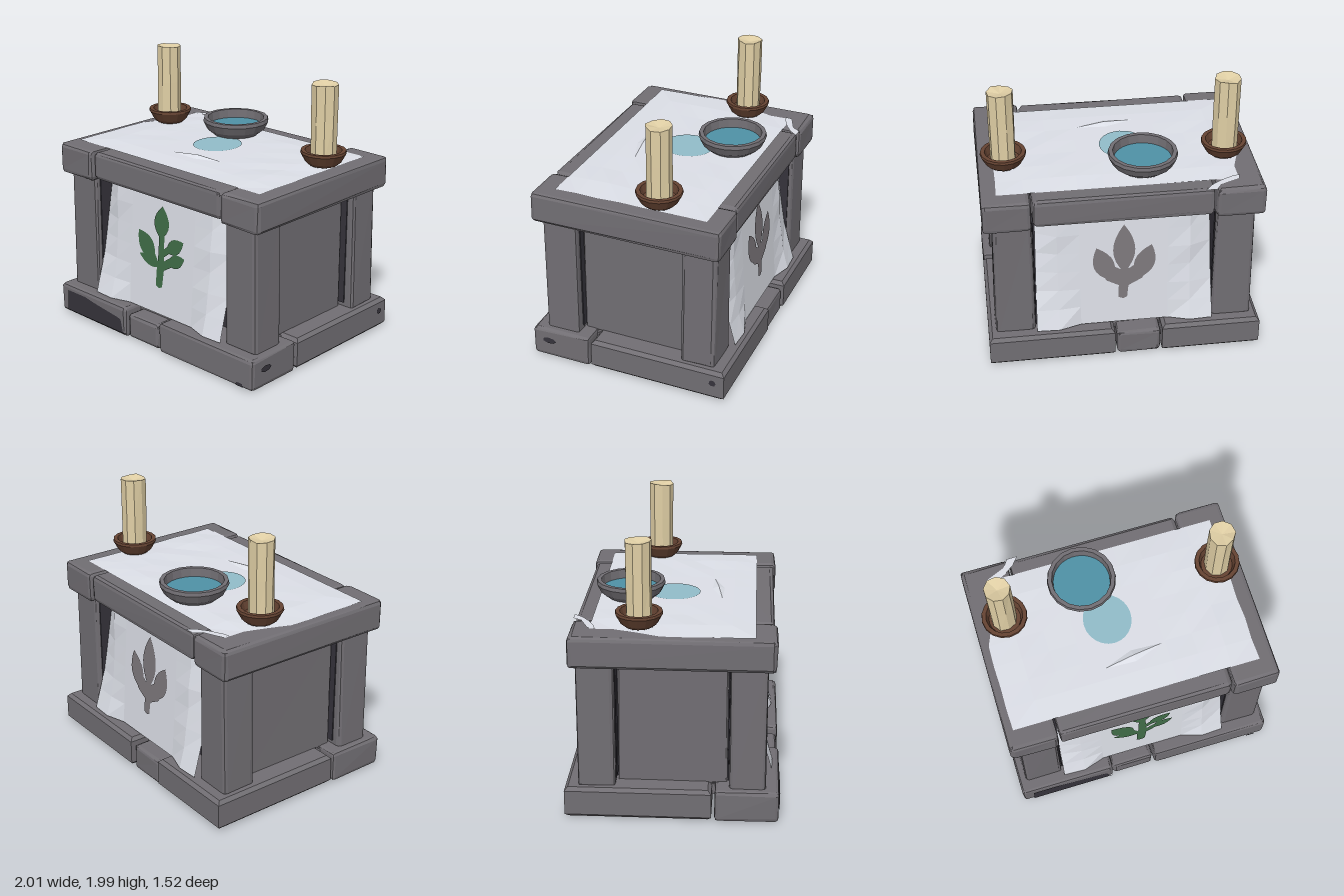
import * as THREE from 'three';
import { RoundedBoxGeometry } from 'three/addons/geometries/RoundedBoxGeometry.js';

const mat = (name, color, extra = {}) => {
  const m = new THREE.MeshStandardMaterial({ color, flatShading: true, ...extra });
  m.name = name;
  return m;
};
const two = { side: THREE.DoubleSide };

// Repeatable noise in -1..1, equal for equal positions so seams stay closed
const noise = (x, y, z) => {
  const r = v => Math.round(v * 500) / 500;
  const s = Math.sin(r(x) * 127.1 + r(y) * 311.7 + r(z) * 74.7) * 43758.5453;
  return (s - Math.floor(s)) * 2 - 1;
};

// Moves every vertex by a rule
function warp(geo, rule) {
  const p = geo.attributes.position, v = new THREE.Vector3();
  for (let i = 0; i < p.count; i++) {
    v.fromBufferAttribute(p, i);
    rule(v);
    p.setXYZ(i, v.x, v.y, v.z);
  }
  geo.computeVertexNormals();
  return geo;
}
const roughen = (geo, a) => warp(geo, v => {
  const { x, y, z } = v;
  v.set(x + a * noise(x, y, z), y + a * noise(y, z, x), z + a * noise(z, x, y));
});

// Chamfered stone given by its extents
function block([x0, x1], [y0, y1], [z0, z1], bevel = 0.025) {
  const g = new RoundedBoxGeometry(x1 - x0, y1 - y0, z1 - z0, 1, bevel);
  g.translate((x0 + x1) / 2, (y0 + y1) / 2, (z0 + z1) / 2);
  return roughen(g, 0.004);
}

// Pointed leaf outline from base to tip
function leaf(ax, ay, bx, by, w) {
  const mx = ax * 0.55 + bx * 0.45, my = ay * 0.55 + by * 0.45;
  const l = Math.hypot(bx - ax, by - ay), px = -(by - ay) / l * w, py = (bx - ax) / l * w;
  const s = new THREE.Shape();
  s.moveTo(ax, ay);
  s.quadraticCurveTo(mx + px, my + py, bx, by);
  s.quadraticCurveTo(mx - px, my - py, ax, ay);
  return s;
}
const poly = pts => new THREE.Shape(pts.map(p => new THREE.Vector2(...p)));

// Hanging cloth: flat in the middle, flared hem, creased sides
const clothZ = y => 0.60 + 0.06 * (1.15 - y) / 0.9;

export function createModel() {
  const stone = mat('stone', 0x716e73);
  const dark = mat('dark stone', 0x35333b, two);
  const linen = mat('linen', 0xdcdfe7, two);
  const green = mat('leaf green', 0x3f6b46, two);
  const grey = mat('emblem grey', 0x7c777b, two);
  const wood = mat('brown dish', 0x654332);
  const wax = mat('wax', 0xe0cfa5);
  const water = mat('water', 0x4f91a6);
  const stain = mat('wet linen', 0x91bcc9, two);

  const model = new THREE.Group();
  const add = (name, geo, m, parent = model) => {
    const mesh = new THREE.Mesh(geo, m);
    mesh.name = name;
    parent.add(mesh);
    return mesh;
  };

  // Base ring: straight stones in front and middle, corner stones at the back
  for (const [x, y, z] of [
    [[-1, -0.265], [0.01, 0.24], [0.30, 0.755]],
    [[-0.26, 0.06], [0.01, 0.2], [0.31, 0.74]],
    [[0.08, 1], [0.01, 0.24], [0.30, 0.755]],
    [[-0.26, 0.06], [0.01, 0.2], [-0.74, -0.22]],
  ]) add('baseStone', block(x, y, z), stone);
  for (const [end, inner, outer] of [[0.08, 0.55, 1], [-0.27, -0.6, -1]]) {
    const bevel = 0.025;
    const g = new THREE.ExtrudeGeometry(
      poly([[end, 0.22], [inner, 0.22], [inner, -0.28], [outer, -0.28], [outer, 0.755], [end, 0.755]]),
      { depth: 0.23 - 2 * bevel, bevelSize: bevel, bevelThickness: bevel, bevelOffset: -bevel, bevelSegments: 1 });
    add('baseCornerStone', g.rotateX(-Math.PI / 2).translate(0, 0.01 + bevel, 0), stone);
  }
  add('floor', block([-0.85, 0.85], [0.14, 0.225], [-0.6, 0.6], 0.01), stone);

  // Dark core behind the panels
  add('core', new THREE.BoxGeometry(1.56, 1.13, 0.94).translate(0, 0.79, 0), dark);

  // Legs, with dark hollows along their inner faces, and side panels
  for (const sx of [-1, 1]) {
    for (const sz of [-1, 1]) {
      const x = [0.655, 0.93].map(v => v * sx).sort((a, b) => a - b);
      const z = [0.40, 0.66].map(v => v * sz).sort((a, b) => a - b);
      const g = warp(block(x, [0.22, 1.16], z), v => {
        if (Math.abs(v.x) > 0.8) v.x += sx * 0.015 * (1.16 - v.y);
      });
      add('leg', g, stone);
      add('legHollow', new THREE.BoxGeometry(0.008, 0.88, 0.15).translate(sx * 0.648, 0.7, sz * 0.555), dark);
      add('legHollow', new THREE.BoxGeometry(0.1, 0.86, 0.008).translate(sx * 0.83, 0.7, sz * 0.396), dark);
    }
    const px = [0.7, 0.84].map(v => v * sx).sort((a, b) => a - b);
    add('sidePanel', block(px, [0.23, 1.15], [-0.38, 0.39], 0.01), stone);
  }

  // Table top stones
  add('topStone', block([-1, -0.645], [1.14, 1.37], [-0.705, 0.715], 0.03), stone);
  add('topStone', block([0.655, 1], [1.14, 1.37], [-0.705, 0.715], 0.03), stone);
  add('topStone', block([-0.635, 0.645], [1.16, 1.365], [0.3, 0.70], 0.03), stone);
  add('topStone', block([-0.635, 0.645], [1.16, 1.365], [-0.69, -0.3], 0.03), stone);

  // Worn dark patches
  const patch = (pts) => new THREE.ShapeGeometry(poly(pts));
  add('wornPatch', patch([[-0.925, 0.035], [-0.265, 0.035], [-0.3, 0.05], [-0.32, 0.14], [-0.36, 0.15],
    [-0.6, 0.18], [-0.72, 0.2], [-0.915, 0.2]]).translate(0, 0, 0.762), dark);
  add('wornPatch', patch([[0.85, 0.025], [0.92, 0.025], [0.91, 0.05], [0.86, 0.05]]).translate(0, 0, 0.762), dark);
  for (const [z, w, h] of [[0.62, 0.055, 0.025], [-0.67, 0.027, 0.025]])
    add('wornPatch', new THREE.CircleGeometry(1, 7).scale(w, h, 1).rotateY(Math.PI / 2).translate(1.007, 0.152, z), dark);

  // Hanging cloths with painted plants, front and back
  const stem = poly([[-0.045, 0.47], [-0.01, 0.455], [0.02, 0.47], [0.035, 0.62], [0.025, 0.88], [-0.025, 0.88],
    [-0.03, 0.68], [-0.04, 0.6]]);
  const frontPlant = [stem, leaf(-0.01, 0.83, 0, 1.08, 0.15), leaf(-0.07, 0.66, -0.24, 0.85, 0.15),
    leaf(-0.01, 0.62, -0.225, 0.67, 0.08), leaf(-0.02, 0.6, -0.17, 0.78, 0.07),
    leaf(0.05, 0.75, 0.22, 0.86, 0.11), leaf(0.07, 0.66, 0.235, 0.74, 0.1),
    poly([[0, 0.68], [0.09, 0.75], [0.07, 0.8], [0, 0.74]]), poly([[0, 0.58], [0.13, 0.66], [0.1, 0.72], [0, 0.65]])];
  const backPlant = [stem, leaf(0, 0.68, 0, 1.08, 0.16)];
  for (const s of [-1, 1]) backPlant.push(leaf(s * 0.1, 0.62, s * 0.2, 0.9, 0.15),
    poly([[0, 0.55], [s * 0.13, 0.62], [s * 0.19, 0.73], [s * 0.11, 0.76], [0, 0.69]]));

  for (const [side, plant, colour] of [['front', frontPlant, green], ['back', backPlant, grey]]) {
    const g = new THREE.Group();
    g.name = side + 'Hanging';
    if (side === 'back') g.rotation.y = Math.PI;
    add(side + 'Cloth', warp(new THREE.PlaneGeometry(1.28, 0.92, 8, 6).translate(0, 0.71, 0), v => {
      const t = (1.17 - v.y) / 0.92, ax = Math.abs(v.x);
      const n = noise(v.x, v.y, 3);
      v.z = clothZ(v.y);
      if (ax > 0.4) v.z += Math.max(0, t - 0.65) * 0.12;
      if (ax > 0.4 && ax < 0.6) v.z += 0.008 * n;
      if (ax > 0.6) {
        v.z -= 0.08 * (1 - t);
        v.x += Math.sign(v.x) * (0.02 * t - 0.012);
      }
    }), linen, g);
    add(side + 'Plant', warp(new THREE.ShapeGeometry(plant, 8), v => { v.z = clothZ(v.y) + 0.007; }), colour, g);
    model.add(g);
  }

  // Cloth on the table top, with its turned corner and a small fold
  add('topCloth', warp(new THREE.PlaneGeometry(1, 1, 9, 7).rotateX(-Math.PI / 2), v => {
    const edge = Math.max(Math.abs(v.x), Math.abs(v.z)) > 0.49;
    const z = v.z * 1.14, left = z < -0.3 ? -0.82 : z < -0.2 ? -0.87 : -0.94;
    const x = left + (v.x + 0.5) * (0.885 - left);
    const n = noise(x, 1, z), calm = Math.hypot(x + 0.07, z) < 0.45;
    v.set(x + (edge ? 0.006 * n : 0), edge ? 1.374 : 1.384 + (calm ? 0 : 0.004 * n), z);
  }), linen);
  add('clothCorner', new THREE.ShapeGeometry(poly([[-0.83, 0.53], [-0.78, 0.54], [-0.68, 0.59], [-0.61, 0.64],
    [-0.56, 0.7], [-0.64, 0.7], [-0.68, 0.64], [-0.82, 0.58]])).rotateX(-Math.PI / 2).translate(0, 1.38, 0), linen);
  const fold = add('clothFold', new THREE.OctahedronGeometry(1).scale(0.25, 0.02, 0.05), linen);
  fold.position.set(0.03, 1.382, 0.29);
  fold.rotation.y = 0.15;
  add('wetPatch', new THREE.CircleGeometry(1, 24).scale(0.175, 0.19, 1).rotateX(-Math.PI / 2)
    .translate(-0.07, 1.39, -0.03), stain);

  // Turned vessels
  const lathe = (pts, n) => new THREE.LatheGeometry(pts.map(p => new THREE.Vector2(...p)), n);
  const bowl = new THREE.Group();
  bowl.name = 'waterBowl';
  bowl.position.set(-0.17, 1.39, -0.34);
  add('bowl', lathe([[0, 0], [0.17, 0], [0.22, 0.04], [0.25, 0.1], [0.245, 0.127], [0.215, 0.127],
    [0.207, 0.05], [0.17, 0.03], [0, 0.03]], 18), stone, bowl);
  add('water', new THREE.CircleGeometry(0.208, 18).rotateX(-Math.PI / 2).translate(0, 0.062, 0), water, bowl);
  model.add(bowl);

  // Candles standing in dishes
  for (const [x, z, top, turn] of [[-0.775, -0.23, 2, 0.2], [0.81, -0.19, 1.985, 0.7]]) {
    const g = new THREE.Group();
    g.name = 'candleStand';
    g.position.set(x, 1.39, z);
    add('dish', lathe([[0, 0], [0.1, 0], [0.13, 0.025], [0.165, 0.09], [0.162, 0.108], [0.132, 0.108],
      [0.115, 0.05], [0, 0.05]], 16), wood, g);
    const h = top - 1.39 - 0.04;
    const body = new THREE.CylinderGeometry(0.094, 0.092, h, 9, 2).rotateY(turn).translate(0, h / 2 + 0.04, 0);
    add('candle', warp(body, v => {
      const n = noise(v.x, 1, v.z);
      if (Math.hypot(v.x, v.z) < 0.01) v.y -= 0.025;
      else {
        v.x *= 1 + 0.04 * n;
        v.z *= 1 + 0.04 * n;
        if (v.y > h) v.y -= 0.008 * (1 + n);
      }
    }), wax, g).position.x = x < 0 ? -0.008 : 0;
    model.add(g);
  }
  return model;
}
